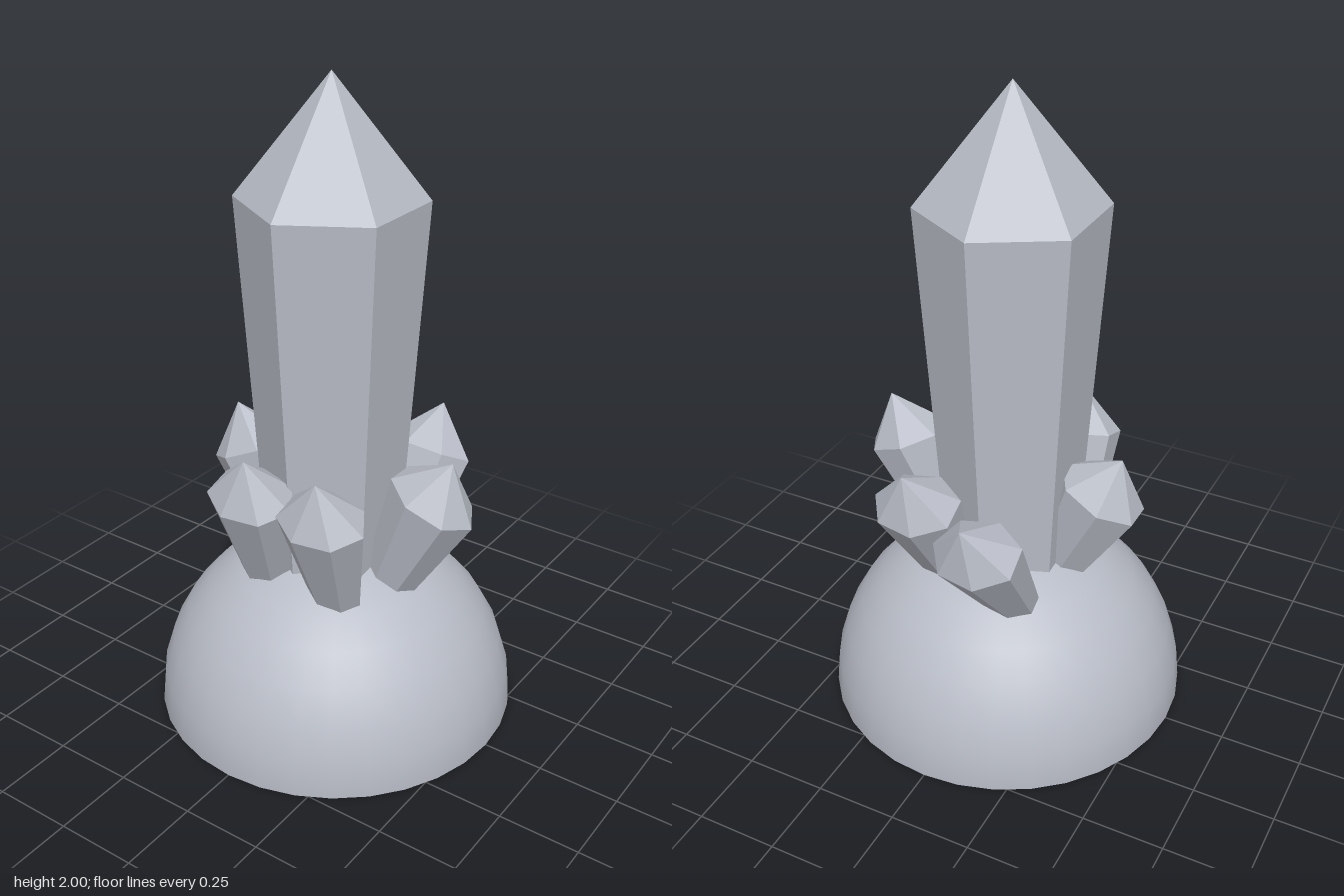
import * as THREE from 'three';

const UP = new THREE.Vector3(0, 1, 0);
const stone = new THREE.MeshStandardMaterial({ color: 0xb8bcc6 });
stone.name = 'pale grey';

function addMesh(parent, name, geometry) {
  const mesh = new THREE.Mesh(geometry, stone);
  mesh.name = name;
  parent.add(mesh);
  return mesh;
}

// Gives every face its own flat normal
function faceted(geometry) {
  const flat = geometry.toNonIndexed();
  flat.computeVertexNormals();
  return flat;
}

// A flared prism with a pointed cap; the origin sits at its shoulder
function crystal(name, { sides, rx, rz, taper, length, cap, turn = 0 }) {
  const group = new THREE.Group();
  group.name = name;
  const body = new THREE.CylinderGeometry(1, taper, length, sides, 1, true, turn);
  body.translate(0, -length / 2, 0).scale(rx, 1, rz);
  addMesh(group, 'crystalBody', faceted(body));
  const point = new THREE.ConeGeometry(1, cap, sides, 1, true, turn);
  point.translate(0, cap / 2, 0).scale(rx, 1, rz);
  addMesh(group, 'crystalPoint', faceted(point));
  return group;
}

export function createModel() {
  const model = new THREE.Group();
  model.name = 'crystalCluster';

  // Smooth half-sphere base with a flat underside
  const base = new THREE.Group();
  base.name = 'base';
  model.add(base);
  addMesh(base, 'dome', new THREE.SphereGeometry(0.562, 32, 8, 0, Math.PI * 2, 0, Math.PI / 2));
  addMesh(base, 'underside', new THREE.CircleGeometry(0.562, 32).rotateX(Math.PI / 2));

  // Tall six-sided centre crystal
  const main = crystal('mainCrystal', {
    sides: 6, rx: 0.279, rz: 0.279, taper: 0.71, length: 1.25, cap: 0.355, turn: Math.PI / 6,
  });
  main.position.set(-0.004, 1.645, -0.012);
  model.add(main);

  // Ring of small leaning crystals: shoulder centre and root of each axis
  const ring = [
    ['frontCrystal', [-0.008, 0.805, 0.35], [-0.014, 0.5, 0.215]],
    ['backCrystal', [-0.008, 0.785, -0.31], [-0.014, 0.48, -0.17]],
    ['rightFrontCrystal', [-0.286, 0.8, 0.15], [-0.19, 0.5, 0.13]],
    ['rightBackCrystal', [-0.29, 0.8, -0.1], [-0.19, 0.5, -0.125]],
    ['leftFrontCrystal', [0.298, 0.785, 0.15], [0.15, 0.48, 0.13]],
    ['leftBackCrystal', [0.395, 0.755, -0.1], [0.205, 0.46, -0.125]],
  ];
  for (const [name, shoulder, root] of ring) {
    const top = new THREE.Vector3(...shoulder);
    const axis = top.clone().sub(new THREE.Vector3(...root)).normalize();
    const small = crystal(name, {
      sides: 7, rx: 0.111, rz: 0.142, taper: 0.46, length: 0.45, cap: 0.145,
    });
    small.position.copy(top);
    small.quaternion.setFromUnitVectors(UP, axis);
    model.add(small);
  }
  return model;
}
